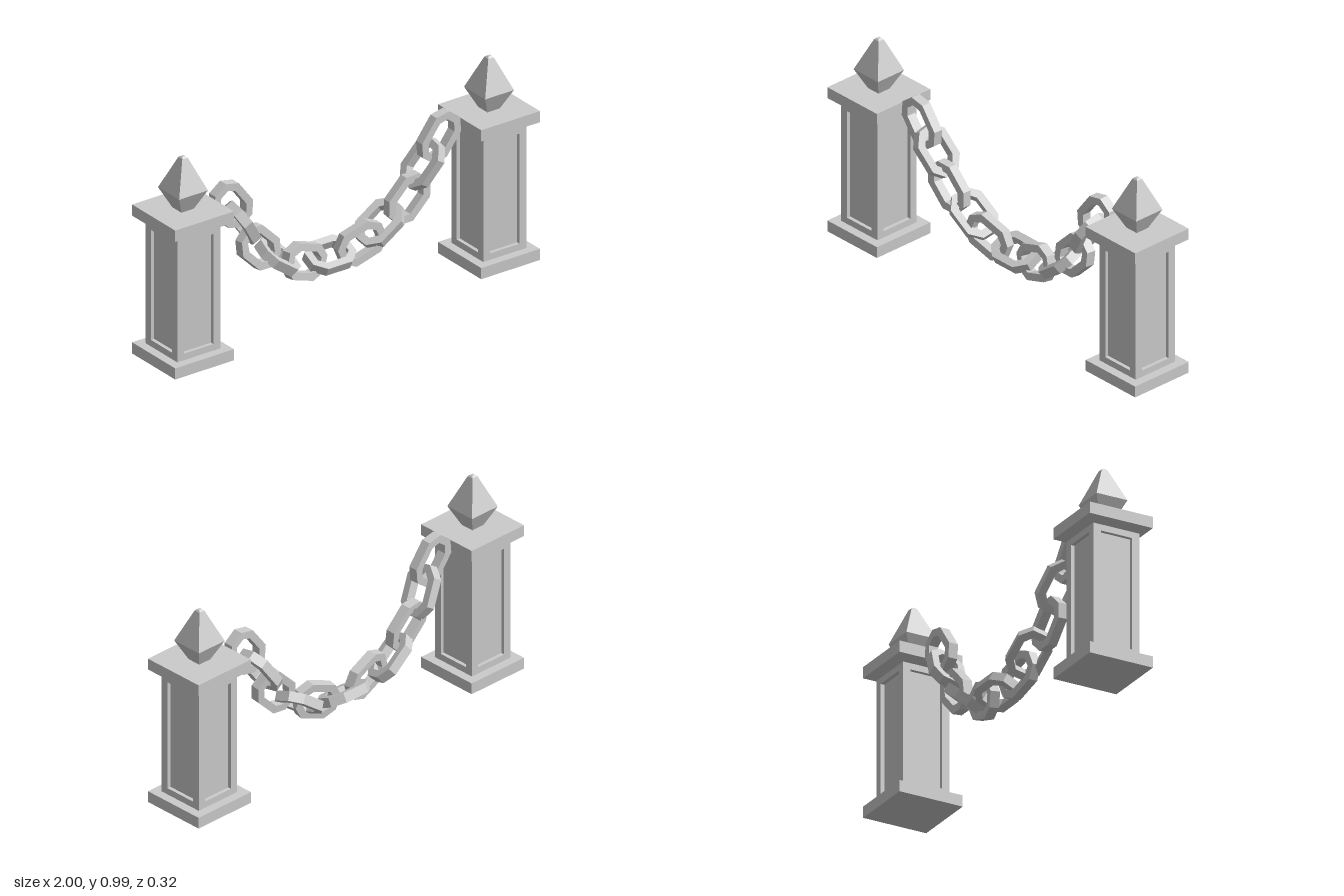
import * as THREE from 'three';

const material = new THREE.MeshStandardMaterial({ color: 0xcccccc, flatShading: true });

function add(parent, name, geometry) {
  const mesh = new THREE.Mesh(geometry, material);
  mesh.name = name;
  parent.add(mesh);
  return mesh;
}

// Square block between two heights, tapering from half-width a to half-width b
function block(y0, y1, a, b = a) {
  return new THREE.CylinderGeometry(b * Math.SQRT2, a * Math.SQRT2, y1 - y0, 4)
    .rotateY(Math.PI / 4).translate(0, (y0 + y1) / 2, 0);
}

function rectangle(path, w, y0, y1) {
  return path.moveTo(-w, y0).lineTo(w, y0).lineTo(w, y1).lineTo(-w, y1).closePath();
}

// Frame around a recessed shaft panel
function panelFrame(halfWidth, depth) {
  const shape = rectangle(new THREE.Shape(), halfWidth, 0.055, 0.66);
  shape.holes.push(rectangle(new THREE.Path(), 0.08, 0.087, 0.63));
  return new THREE.ExtrudeGeometry(shape, { depth, bevelEnabled: false });
}

function createPost() {
  const post = new THREE.Group();
  const half = 0.118, recess = 0.018;
  add(post, 'base', block(0, 0.055, 0.161));
  add(post, 'shaftCore', block(0.055, 0.66, half - recess));
  for (let i = 0; i < 4; i++) {
    const frame = panelFrame(i % 2 ? half - recess : half, recess).translate(0, 0, half - recess);
    add(post, 'panelFrame', frame.rotateY(i * Math.PI / 2));
  }
  add(post, 'capFlare', block(0.66, 0.68, 0.118, 0.161));
  add(post, 'cap', block(0.68, 0.735, 0.161));
  add(post, 'finialLower', block(0.735, 0.83, 0.034, 0.079));
  add(post, 'finialUpper', block(0.83, 0.985, 0.079, 0.015));
  add(post, 'finialTip', block(0.985, 0.992, 0.015, 0.008));
  return post;
}

// Elongated octagon outline, long axis along x
function octagon(path, l, w, flatL, flatW) {
  const pts = [[l, -flatW], [l, flatW], [flatL, w], [-flatL, w], [-l, flatW], [-l, -flatW], [-flatL, -w], [flatL, -w]];
  return path.setFromPoints(pts.map(([x, y]) => new THREE.Vector2(x, y))).closePath();
}

function linkGeometry() {
  const shape = octagon(new THREE.Shape(), 0.119, 0.084, 0.066, 0.037);
  shape.holes.push(octagon(new THREE.Path(), 0.084, 0.049, 0.05, 0.023));
  return new THREE.ExtrudeGeometry(shape, { depth: 0.046, bevelEnabled: false }).translate(0, 0, -0.023);
}

// Places a link at a point, along a direction, rolled about its long axis
function placeLink(parent, geometry, position, direction, roll) {
  const d = new THREE.Vector3(...direction).normalize();
  const u = new THREE.Vector3(0, 0, 1).cross(d).normalize();
  const w = d.clone().cross(u);
  const link = add(parent, 'chainLink', geometry);
  link.setRotationFromMatrix(new THREE.Matrix4().makeBasis(d, u, w));
  link.rotateX(roll);
  link.position.set(...position);
}

export function createModel() {
  const model = new THREE.Group();
  model.name = 'chainedPosts';

  for (const side of [1, -1]) {
    const post = createPost();
    post.name = side > 0 ? 'leftPost' : 'rightPost';
    post.position.x = side * 0.839;
    model.add(post);
  }

  // Hanging chain: half of the links, mirrored across the middle
  const chain = new THREE.Group();
  chain.name = 'chain';
  model.add(chain);
  const geometry = linkGeometry();
  const quarter = Math.PI / 2;
  const links = [
    [[-0.57, 0.672, -0.01], [0.6, -0.8, 0], 0],
    [[-0.495, 0.55, -0.028], [0.53, -0.82, -0.2], quarter + 0.1],
    [[-0.408, 0.408, -0.025], [0.7, -0.7, 0], -0.1],
    [[-0.28, 0.308, -0.055], [0.8, -0.58, -0.05], quarter + 0.35],
    [[-0.155, 0.26, -0.03], [0.92, -0.34, -0.1], -0.12],
  ];
  for (const [[x, y, z], [dx, dy, dz], roll] of links) {
    placeLink(chain, geometry, [x, y, z], [dx, dy, dz], roll);
    placeLink(chain, geometry, [-x, y, z], [dx, -dy, -dz], roll);
  }
  placeLink(chain, geometry, [0, 0.235, -0.05], [1, 0, 0], quarter + 0.45);
  return model;
}
